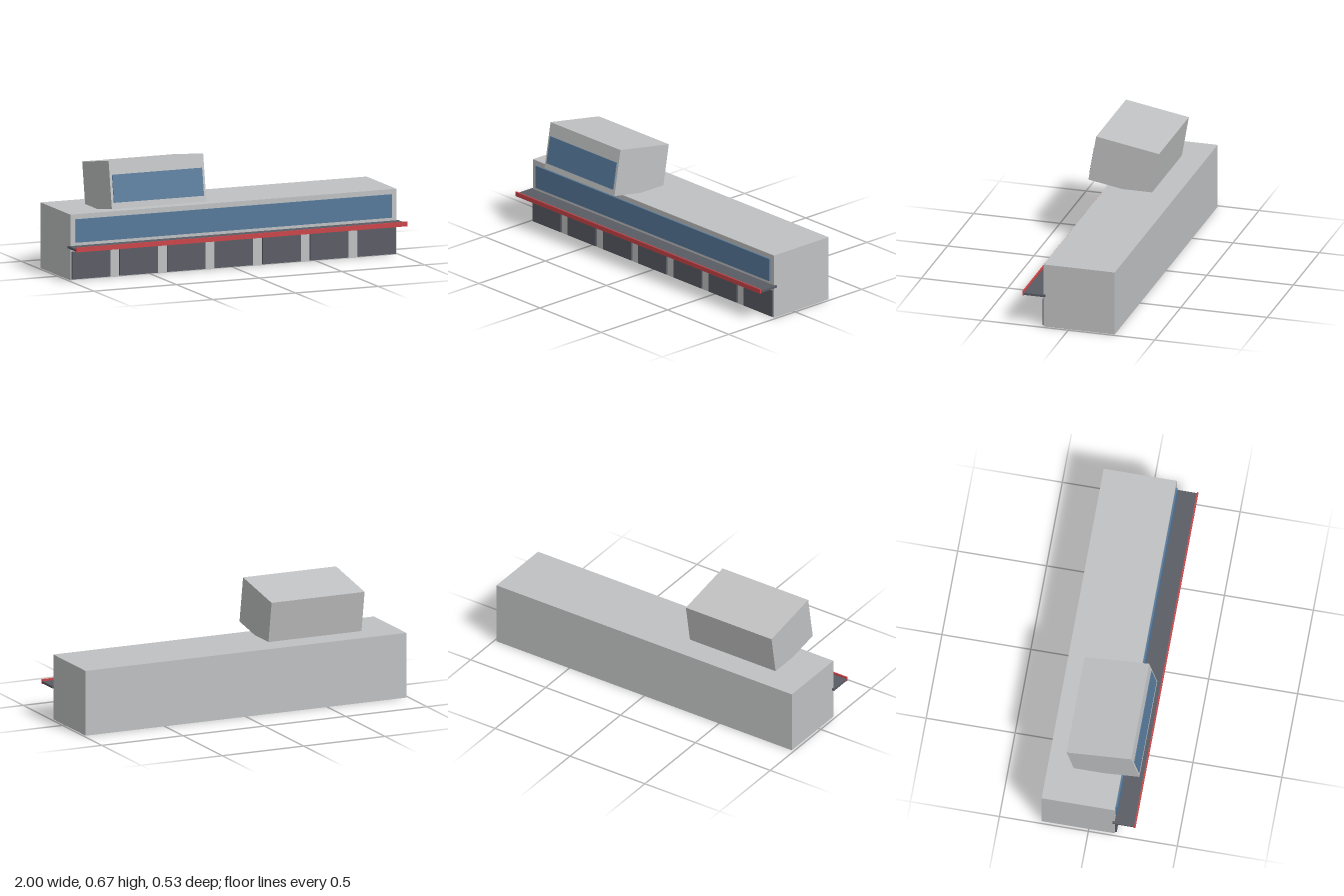
import * as THREE from 'three';

export function createModel() {
  const model = new THREE.Group();
  const material = (name, color) => {
    const m = new THREE.MeshStandardMaterial({ color });
    m.name = name;
    return m;
  };
  const wall = material('pale grey wall', 0xc0c1c2);
  const dark = material('dark grey', 0x5a5c65);
  const glass = material('blue glass', 0x56799a);
  const red = material('red trim', 0xcb4549);

  // Box given by its extents along each axis
  const box = (name, mat, [x0, x1], [y0, y1], [z0, z1], parent = model) => {
    const mesh = new THREE.Mesh(new THREE.BoxGeometry(x1 - x0, y1 - y0, z1 - z0), mat);
    mesh.name = name;
    mesh.position.set((x0 + x1) / 2, (y0 + y1) / 2, (z0 + z1) / 2);
    parent.add(mesh);
    return mesh;
  };

  // Long main building with its ribbon window
  box('mainBuilding', wall, [-0.986, 0.986], [0, 0.37], [-0.265, 0.146]);
  box('ribbonWindow', glass, [-0.956, 0.956], [0.211, 0.342], [0.146, 0.155]);

  // Row of garage doors
  for (let i = 0; i < 7; i++) {
    const x = (i - 3) * 0.288;
    box('garageDoor', dark, [x - 0.115, x + 0.115], [0.006, 0.161], [0.146, 0.156]);
  }

  // Canopy over the doors with a red fascia
  box('canopy', dark, [-0.998, 0.998], [0.18, 0.193], [0.135, 0.257]);
  box('canopyFascia', red, [-1, 1], [0.178, 0.204], [0.257, 0.265]);

  // Control room tilted back on the roof
  const controlRoom = new THREE.Group();
  controlRoom.name = 'controlRoom';
  controlRoom.position.set(-0.494, 0.5035, 0.0435);
  controlRoom.rotation.x = -THREE.MathUtils.degToRad(9.8);
  box('controlRoomBody', wall, [-0.286, 0.286], [-0.133, 0.133], [-0.1845, 0.1845], controlRoom);
  box('controlRoomWindow', glass, [-0.272, 0.272], [-0.1, 0.056], [0.1845, 0.189], controlRoom);
  model.add(controlRoom);

  return model;
}
